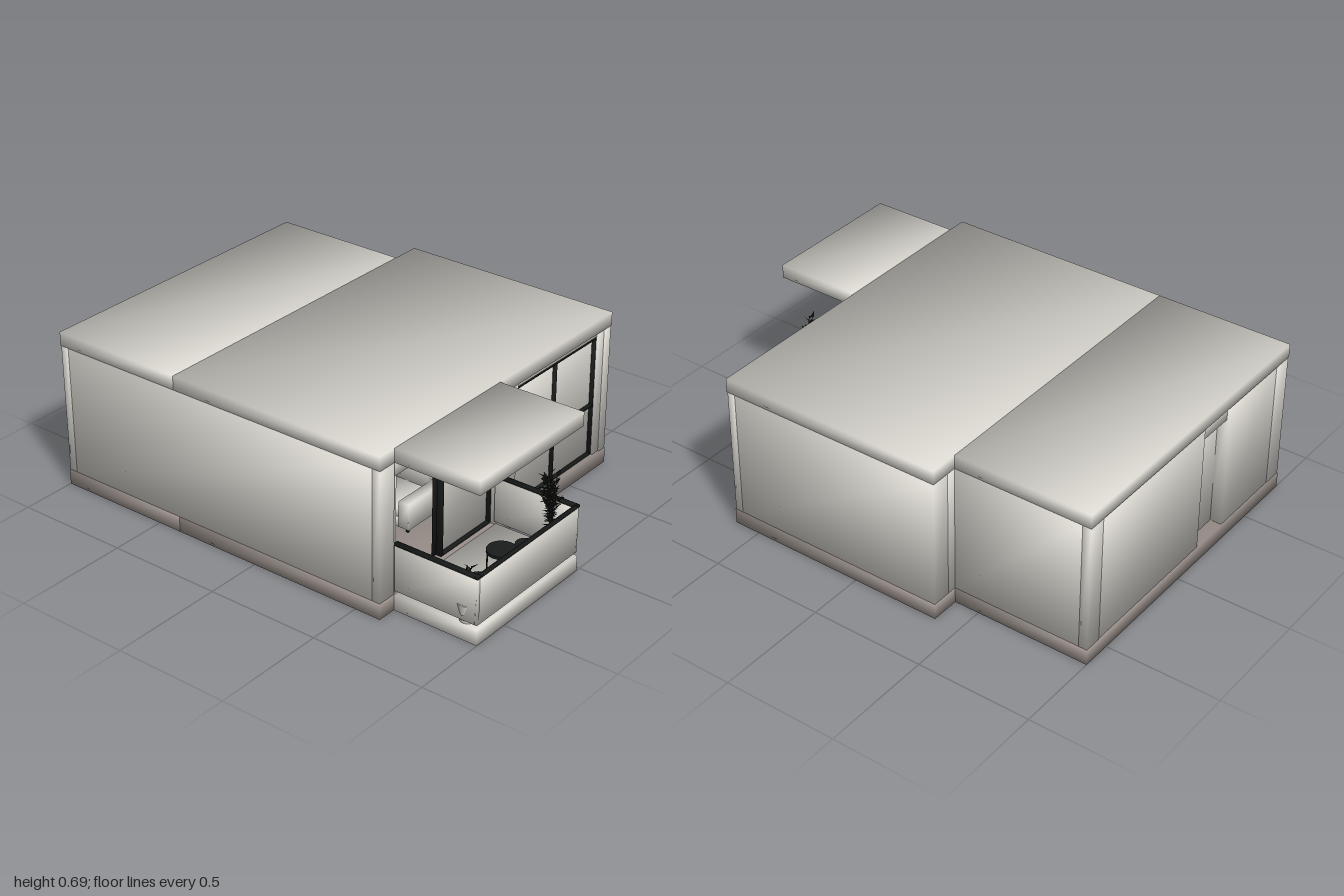
import * as THREE from 'three';
import { mergeVertices, mergeGeometries } from 'three/addons/utils/BufferGeometryUtils.js';

const mat = (name, color) => new THREE.MeshStandardMaterial({ name, color });

// Box from min/max corners whose normals point out along the corner diagonals, for soft shading
function softBox(x0, x1, y0, y1, z0, z1) {
  let g = new THREE.BoxGeometry(x1 - x0, y1 - y0, z1 - z0);
  g.deleteAttribute('normal');
  g.deleteAttribute('uv');
  g = mergeVertices(g);
  const n = Array.from(g.attributes.position.array, (v) => Math.sign(v) / Math.sqrt(3));
  g.setAttribute('normal', new THREE.Float32BufferAttribute(n, 3));
  return g.translate((x0 + x1) / 2, (y0 + y1) / 2, (z0 + z1) / 2);
}

function seeded(seed) {
  return () => (seed = (seed * 16807) % 2147483647) / 2147483647;
}

export function createModel() {
  const root = new THREE.Group();
  root.name = 'house';
  const plaster = mat('plaster', 0xe0ddd6);
  const base = mat('taupeBase', 0x9c928d);
  const black = mat('blackMetal', 0x1a1d1b);
  const leafMat = mat('darkLeaf', 0x1c201c);
  leafMat.side = THREE.DoubleSide;

  const add = (name, geo, m, parent = root) => {
    const mesh = new THREE.Mesh(geo, m);
    mesh.name = name;
    parent.add(mesh);
    return mesh;
  };
  const box = (name, x0, x1, y0, y1, z0, z1, m = plaster, parent = root) =>
    add(name, softBox(x0, x1, y0, y1, z0, z1), m, parent);

  // Floor and roof slabs of the three volumes
  const FLOOR = 0.068, ROOF = 0.635, TOP = 0.695;
  const plan = {
    main: [-0.39, 0.618, -0.757, 0.757, base],
    wing: [-1, -0.39, -0.63, 0.757, base],
    balcony: [0.618, 1, 0.02, 0.672, plaster],
  };
  for (const [name, [x0, x1, z0, z1, floorMat]] of Object.entries(plan)) {
    box(name + 'Floor', x0, x1, 0, FLOOR, z0, z1, floorMat);
    box(name + 'Roof', x0, x1, ROOF, TOP, z0, z1);
  }

  // Full height walls: x0, x1, z0, z1
  const walls = {
    frontWall: [-0.96, 0.58, 0.67, 0.755],
    frontLeftPost: [0.58, 0.616, 0.67, 0.755],
    frontRightPost: [-0.998, -0.96, 0.67, 0.755],
    mainBackWall: [-0.388, 0.58, -0.755, -0.67],
    backCornerPost: [0.58, 0.616, -0.755, -0.715],
    backReturn: [0.56, 0.61, -0.715, -0.672],
    stepWall: [-0.388, -0.32, -0.67, -0.55],
    wingBackWall: [-0.96, -0.388, -0.628, -0.55],
    wingBackPost: [-0.998, -0.96, -0.628, -0.55],
    wingSideBack: [-0.996, -0.93, -0.55, 0.14],
    wingSideFront: [-0.996, -0.93, 0.32, 0.67],
    sidePier: [0.53, 0.616, -0.105, 0.03],
    crossPartition: [-0.32, 0.53, -0.07, 0],
    longPartition: [-0.388, -0.32, -0.55, 0.67],
    frontLining: [-0.32, 0.53, 0.585, 0.67],
  };
  for (const [name, [x0, x1, z0, z1]] of Object.entries(walls)) {
    box(name, x0, x1, FLOOR, ROOF, z0, z1);
  }

  // Recessed entrance on the wing side
  box('entranceDoor', -0.945, -0.92, FLOOR, 0.57, 0.14, 0.32);
  box('entranceHeader', -0.985, -0.93, 0.57, ROOF, 0.14, 0.32);

  // Frame in the side plane with optional centre bars
  function frame(name, x, y0, y1, z0, z1, t, cross) {
    const g = new THREE.Group();
    g.name = name;
    root.add(g);
    const bar = (a, b, c, d) => box('frameBar', x - 0.012, x + 0.012, a, b, c, d, black, g);
    bar(y0, y0 + t, z0, z1);
    bar(y1 - t, y1, z0, z1);
    bar(y0, y1, z0, z0 + t);
    bar(y0, y1, z1 - t, z1);
    if (cross) {
      const zm = (z0 + z1) / 2;
      bar(y0, y1, zm - t / 2, zm + t / 2);
      bar(0.295, 0.295 + t, z0, z1);
    }
    return g;
  }

  // Large four-pane window
  const win = frame('sideWindow', 0.59, 0.067, 0.612, -0.672, -0.105, 0.012, true);
  box('windowGlass', 0.583, 0.589, 0.07, 0.61, -0.67, -0.108, plaster, win);
  box('windowHeader', 0.55, 0.605, 0.612, ROOF, -0.67, -0.105);

  // Balcony opening, half open sliding door
  box('balconyHeader', 0.54, 0.61, 0.57, ROOF, 0.03, 0.67);
  const door = frame('slidingDoor', 0.585, 0.067, 0.57, 0.03, 0.352, 0.012, false);
  box('doorStile', 0.56, 0.572, FLOOR, 0.57, 0.343, 0.363, black, door);
  box('doorGlass', 0.577, 0.583, 0.07, 0.568, 0.035, 0.347, plaster, door);
  box('doorJamb', 0.57, 0.6, FLOOR, 0.57, 0.645, 0.651, black);
  box('doorReturn', 0.54, 0.61, FLOOR, 0.57, 0.651, 0.67);

  // Balcony parapet and rail
  const sides = [[0.618, 0.998, 0.657, 0.67], [0.985, 0.998, 0.022, 0.67], [0.618, 0.998, 0.022, 0.035]];
  sides.forEach(([x0, x1, z0, z1]) => {
    box('parapet', x0, x1, 0.085, 0.286, z0, z1);
    box('rail', x0, x1 + 0.002, 0.285, 0.295, z0 - 0.004, z1 + 0.004, black);
  });

  // Low table and stools on the balcony
  function stand(name, x, z, r, h) {
    const g = new THREE.Group();
    g.name = name;
    g.position.set(x, FLOOR, z);
    root.add(g);
    add('standTop', new THREE.CylinderGeometry(r, r, 0.012, 20).translate(0, h, 0), black, g);
    for (const [sx, sz] of [[1, 1], [1, -1], [-1, 1], [-1, -1]]) {
      const leg = add('standLeg', new THREE.CylinderGeometry(0.003, 0.003, h, 6), black, g);
      leg.position.set(sx * r * 0.65, h / 2, sz * r * 0.65);
    }
  }
  stand('balconyTable', 0.87, 0.34, 0.06, 0.13);
  stand('frontStool', 0.88, 0.5, 0.04, 0.09);
  stand('backStool', 0.88, 0.2, 0.04, 0.09);

  // Potted plants: curved stems with flat leaves merged into one mesh
  function plant(name, x, z, potH, height, spread, stems, seed) {
    const rnd = seeded(seed);
    const g = new THREE.Group();
    g.name = name;
    g.position.set(x, FLOOR, z);
    root.add(g);
    add('pot', new THREE.CylinderGeometry(0.042, 0.03, potH, 20).translate(0, potH / 2, 0), plaster, g);
    const parts = [];
    for (let s = 0; s < stems; s++) {
      const a = rnd() * Math.PI * 2, r = spread * (0.35 + 0.65 * rnd()), h = height * (0.6 + 0.4 * rnd());
      const curve = new THREE.QuadraticBezierCurve3(
        new THREE.Vector3(0, potH, 0), new THREE.Vector3(0, potH + h * 0.6, 0),
        new THREE.Vector3(Math.cos(a) * r, potH + h, Math.sin(a) * r));
      parts.push(new THREE.TubeGeometry(curve, 6, 0.0014, 4));
      for (let i = 3; i <= 12; i++) {
        const p = curve.getPoint(i / 12);
        const leaf = new THREE.ConeGeometry(0.007, 0.03, 4).translate(0, 0.015, 0).scale(1, 1, 0.25);
        leaf.rotateX(0.7 + rnd() * 0.9).rotateY(rnd() * Math.PI * 2).translate(p.x, p.y - 0.006, p.z);
        parts.push(leaf);
      }
    }
    add('foliage', mergeGeometries(parts), leafMat, g);
  }
  plant('tallPlant', 0.92, 0.092, 0.1, 0.262, 0.05, 18, 7);
  plant('smallPlant', 0.93, 0.635, 0.08, 0.165, 0.015, 6, 21);

  // Sofa against the partition, facing a thin screen on the front lining
  const sofa = new THREE.Group();
  sofa.name = 'sofa';
  root.add(sofa);
  box('sofaBase', -0.2, 0.4, 0.085, 0.13, 0.02, 0.3, plaster, sofa);
  box('sofaBack', -0.2, 0.4, 0.085, 0.25, 0.01, 0.06, plaster, sofa);
  for (const x of [-0.2, 0.35]) box('sofaArm', x, x + 0.05, 0.085, 0.2, 0.06, 0.3, plaster, sofa);
  for (let i = 0; i < 3; i++) {
    const x = -0.148 + i * 0.166;
    box('seatCushion', x, x + 0.163, 0.13, 0.17, 0.06, 0.3, plaster, sofa);
    box('backCushion', x, x + 0.163, 0.17, 0.285, 0.06, 0.11, plaster, sofa);
  }
  for (const x of [-0.19, 0.38]) for (const z of [0.03, 0.28]) {
    box('sofaFoot', x, x + 0.01, FLOOR, 0.086, z, z + 0.01, black, sofa);
  }
  box('wallScreen', -0.1, 0.3, 0.21, 0.43, 0.577, 0.585, black);

  return root;
}
